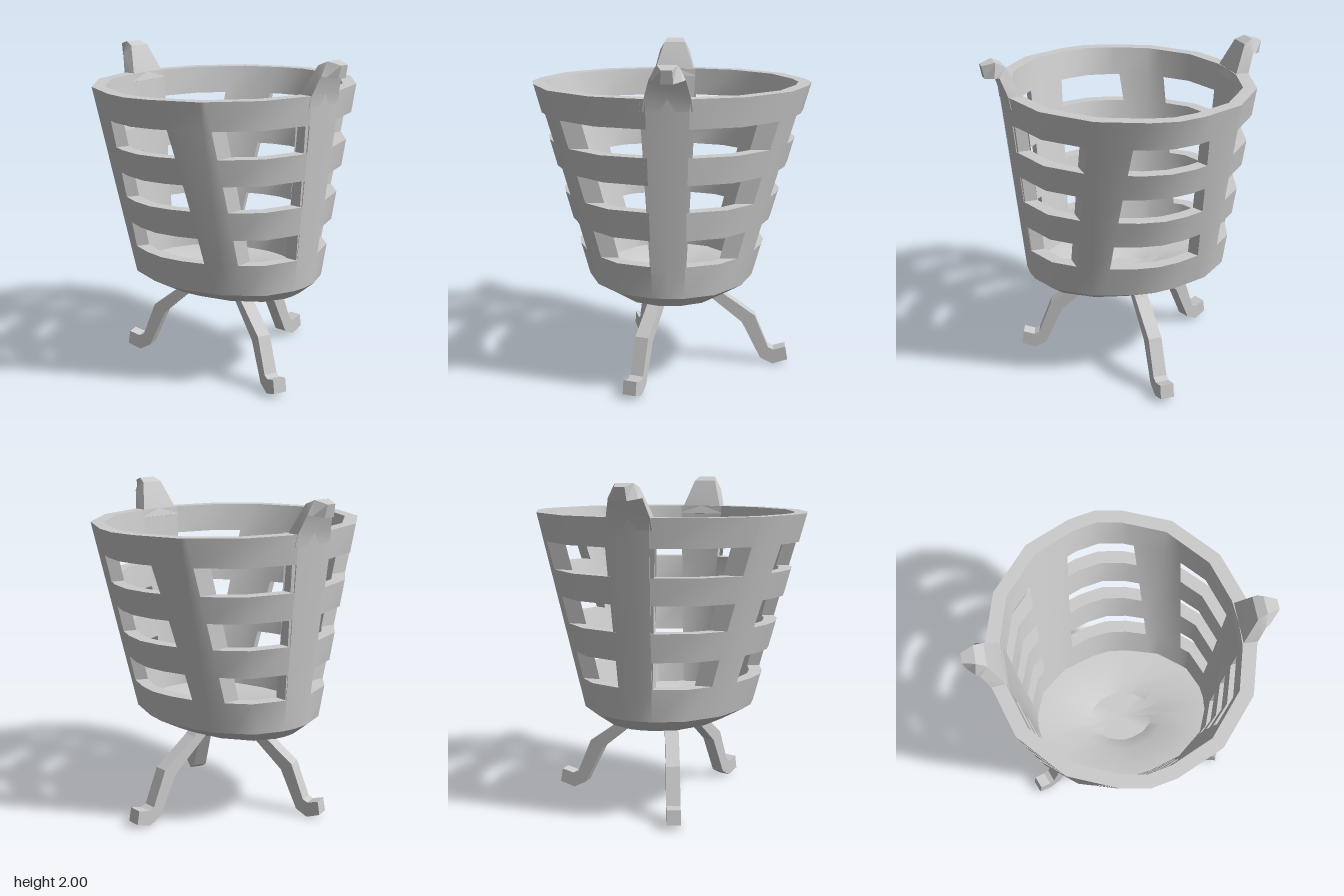
import * as THREE from 'three';
import { toCreasedNormals } from 'three/addons/utils/BufferGeometryUtils.js';

const material = new THREE.MeshStandardMaterial({ color: 0xcccccc });

// Collects quads (corners counter-clockwise from outside) into a creased mesh
function quadBuilder() {
  const pos = [];
  const same = (a, b) => a.every((v, i) => Math.abs(v - b[i]) < 1e-6);
  const tri = (a, b, c) => {
    if (!same(a, b) && !same(b, c) && !same(a, c)) pos.push(...a, ...b, ...c);
  };
  return {
    quad(a, b, c, d) { tri(a, b, c); tri(a, c, d); },
    mesh(name, crease) {
      const g = new THREE.BufferGeometry();
      g.setAttribute('position', new THREE.Float32BufferAttribute(pos, 3));
      const m = new THREE.Mesh(toCreasedNormals(g, crease), material);
      m.name = name;
      return m;
    },
  };
}

// Corners of a quarter of the basket outline, as fractions of its radii [x, z]
const CORNERS = [[0, 1], [0.21, 0.965], [0.573, 0.824], [0.876, 0.514], [0.987, 0.182], [1, 0]];

// Point on the outline edge k where coordinate `axis` equals v
function cut(k, axis, v) {
  const [a, b] = [CORNERS[k], CORNERS[k + 1]];
  const t = (v - a[axis]) / (b[axis] - a[axis]);
  return [a[0] + (b[0] - a[0]) * t, a[1] + (b[1] - a[1]) * t];
}

// Closed 32-point ring: the outline plus the window edges a, b (in x) and c (in z)
function ring(y, rx, rz, a = 0.4, b = 0.7, c = 0.165) {
  const q = [CORNERS[0], CORNERS[1], cut(1, 0, a), CORNERS[2], cut(2, 0, b),
    CORNERS[3], cut(3, 1, c), CORNERS[4], CORNERS[5]];
  const loop = [];
  for (let i = 0; i < 32; i++) {
    const quarter = Math.floor(i / 8), k = i % 8;
    const [x, z] = q[quarter % 2 ? 8 - k : k];
    loop.push([x * rx * (quarter < 2 ? 1 : -1), y, z * rz * (quarter === 0 || quarter === 3 ? 1 : -1)]);
  }
  return loop;
}

const isWindow = (s) => {
  const k = ((s % 32) + 32) % 32, local = Math.floor(k / 8) % 2 ? 7 - (k % 8) : k % 8;
  return [0, 1, 4, 5].includes(local);
};

function createBasket() {
  const { quad, mesh } = quadBuilder();
  const levels = [0.63, 0.825, 0.985, 1.155, 1.315, 1.475, 1.64, 1.81];
  const wall = (y, thick) => {
    const t = (y - 0.63) / 1.18;
    const rx = 0.63 + 0.12 * t, rz = 0.52 + 0.33 * t;
    const a = 0.46 - 0.18 * t, c = (0.093 + 0.03 * t) / (rz - thick);
    return ring(y, rx - thick, rz - thick, a, 0.45 / (rx - thick), Math.min(c, 0.4));
  };
  const outer = levels.map((y) => wall(y, 0));
  const inner = levels.map((y) => wall(y, 0.08));
  const band = (lo, hi, windows = false) => {
    for (let i = 0; i < 32; i++) {
      const j = (i + 1) % 32;
      if (!windows || !isWindow(i)) quad(lo[i], lo[j], hi[j], hi[i]);
    }
  };

  // Slatted wall, inside and outside, with the reveals of each window
  for (let l = 0; l < 7; l++) {
    const open = l % 2 === 1;
    const [oL, oH, iL, iH] = [outer[l], outer[l + 1], inner[l], inner[l + 1]];
    band(oL, oH, open);
    band(iH, iL, open);
    for (let i = 0; open && i < 32; i++) {
      if (!isWindow(i)) continue;
      const j = (i + 1) % 32;
      quad(oL[i], oL[j], iL[j], iL[i]);
      quad(oH[i], iH[i], iH[j], oH[j]);
      if (!isWindow(i - 1)) quad(oL[i], iL[i], iH[i], oH[i]);
      if (!isWindow(i + 1)) quad(oL[j], oH[j], iH[j], iL[j]);
    }
  }
  band(outer[7], inner[7]); // rim

  // Underside with its foot ring, from the centre outwards
  const under = [[0.53, 0, 0], [0.53, 0.19, 0.155], [0.5, 0.2, 0.165], [0.5, 0.22, 0.185],
    [0.55, 0.3, 0.26], [0.555, 0.54, 0.38]].map((p) => ring(...p));
  under.push(outer[0]);
  // Floor with its round hollow, from the wall to the centre
  const floor = [[0.6, 0.285, 0.24], [0.55, 0.2, 0.165], [0.55, 0, 0]].map((p) => ring(...p));
  floor.unshift(inner[0]);
  for (const loops of [under, floor])
    for (let i = 0; i + 1 < loops.length; i++) band(loops[i], loops[i + 1]);
  return mesh('basket', 0.55);
}

// Lug rising from the rim and bending outwards; sections: [x, y, half width] below and above
function createLug() {
  const { quad, mesh } = quadBuilder();
  const sections = [
    [[0.74, 1.74, 0.14], [0.655, 1.76, 0.14]],
    [[0.75, 1.81, 0.13], [0.67, 1.81, 0.125]],
    [[0.79, 1.92, 0.1], [0.745, 1.975, 0.07]],
    [[0.815, 1.915, 0.085], [0.8, 2, 0.055]],
    [[0.86, 1.905, 0.035], [0.875, 1.98, 0.03]],
  ].map(([[x0, y0, w0], [x1, y1, w1]]) =>
    [[x0, y0, -w0], [x0, y0, w0], [x1, y1, w1], [x1, y1, -w1]]);
  for (let s = 0; s + 1 < sections.length; s++)
    for (let k = 0; k < 4; k++) {
      const n = (k + 1) % 4, a = sections[s], b = sections[s + 1];
      quad(a[k], b[k], b[n], a[n]);
    }
  const first = sections[0], tip = sections[sections.length - 1];
  quad(...first);
  quad(tip[3], tip[2], tip[1], tip[0]);
  return mesh('lug', 0.4);
}

// Bent leg with an upturned toe, drawn in profile along +x
function createLeg() {
  const profile = [[0.17, 0.51], [0.22, 0.47], [0.45, 0.28], [0.57, 0.04], [0.65, 0], [0.745, 0.03],
    [0.73, 0.115], [0.655, 0.095], [0.62, 0.11], [0.53, 0.325], [0.3, 0.49], [0.25, 0.54]];
  const shape = new THREE.Shape(profile.map(([x, y]) => new THREE.Vector2(x, y)));
  const g = new THREE.ExtrudeGeometry(shape, { depth: 0.084, bevelEnabled: false });
  g.translate(0, 0, -0.042);
  return new THREE.Mesh(g, material);
}

export function createModel() {
  const model = new THREE.Group();
  model.name = 'fireBasket';
  model.add(createBasket());

  const leftLug = createLug(), rightLug = createLug();
  leftLug.name = 'leftLug';
  rightLug.name = 'rightLug';
  rightLug.rotation.y = Math.PI;
  model.add(leftLug, rightLug);

  for (const [name, degrees, reach] of [['backLeg', 90, 1], ['leftLeg', -20, 0.91], ['rightLeg', 200, 0.91]]) {
    const leg = createLeg();
    leg.name = name;
    leg.rotation.y = THREE.MathUtils.degToRad(degrees);
    leg.scale.x = reach;
    model.add(leg);
  }
  return model;
}
